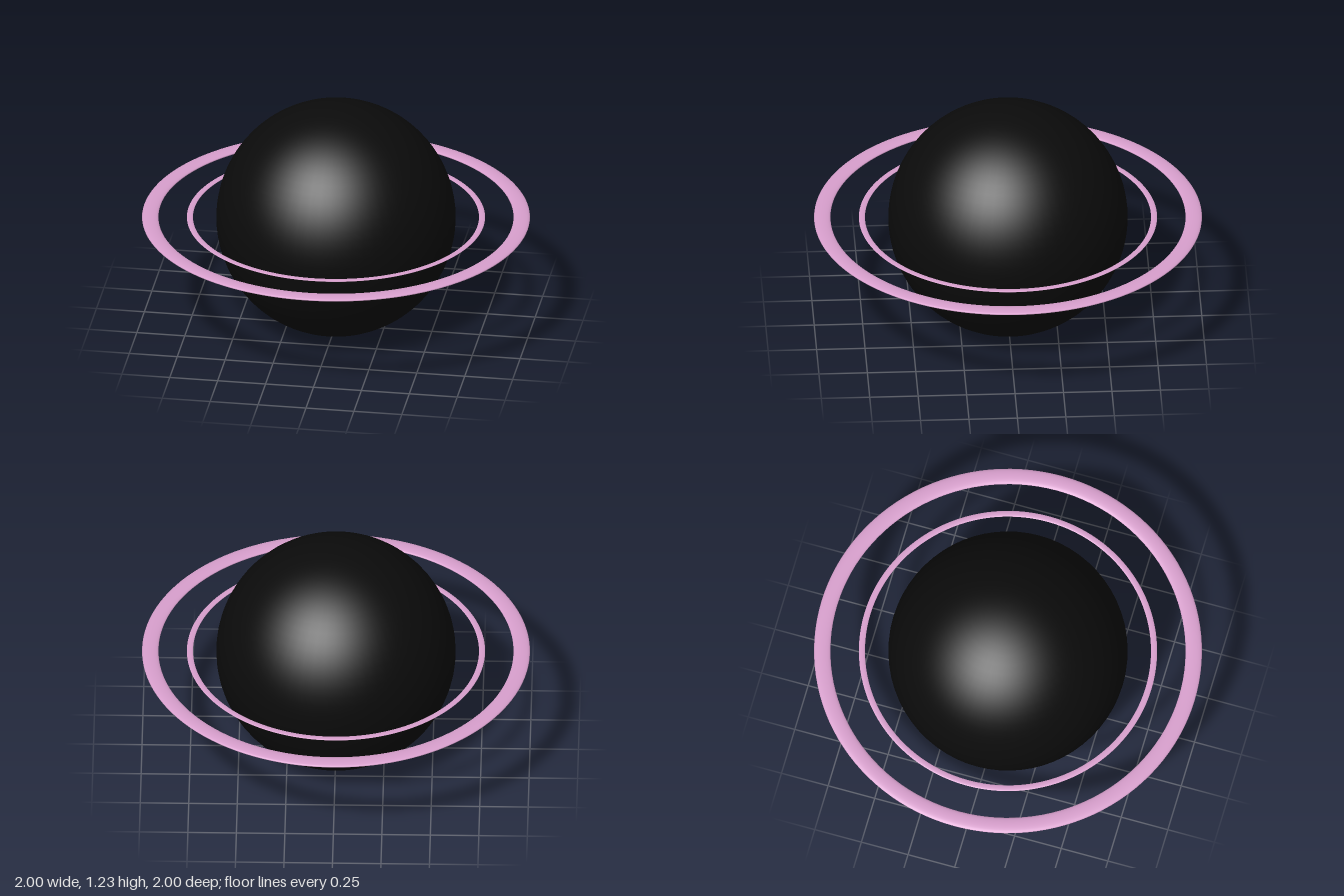
import * as THREE from 'three';

export function createModel() {
  const model = new THREE.Group();
  const black = new THREE.MeshStandardMaterial({ name: 'black', color: 0x0b0b0b });
  const pink = new THREE.MeshStandardMaterial({ name: 'pink', color: 0xd89fcd });
  const radius = 0.617;

  // Planet body
  const planet = new THREE.Mesh(new THREE.SphereGeometry(radius, 64, 40), black);
  planet.name = 'planet';
  planet.position.y = radius;
  model.add(planet);

  // Flattened torus lying around the equator
  function addRing(name, inner, outer) {
    const geometry = new THREE.TorusGeometry((inner + outer) / 2, (outer - inner) / 2, 20, 120);
    geometry.rotateX(-Math.PI / 2);
    geometry.scale(1, 0.24, 1);
    const ring = new THREE.Mesh(geometry, pink);
    ring.name = name;
    ring.position.y = radius;
    model.add(ring);
  }
  addRing('innerRing', 0.737, 0.769);
  addRing('outerRing', 0.915, 1);

  return model;
}
